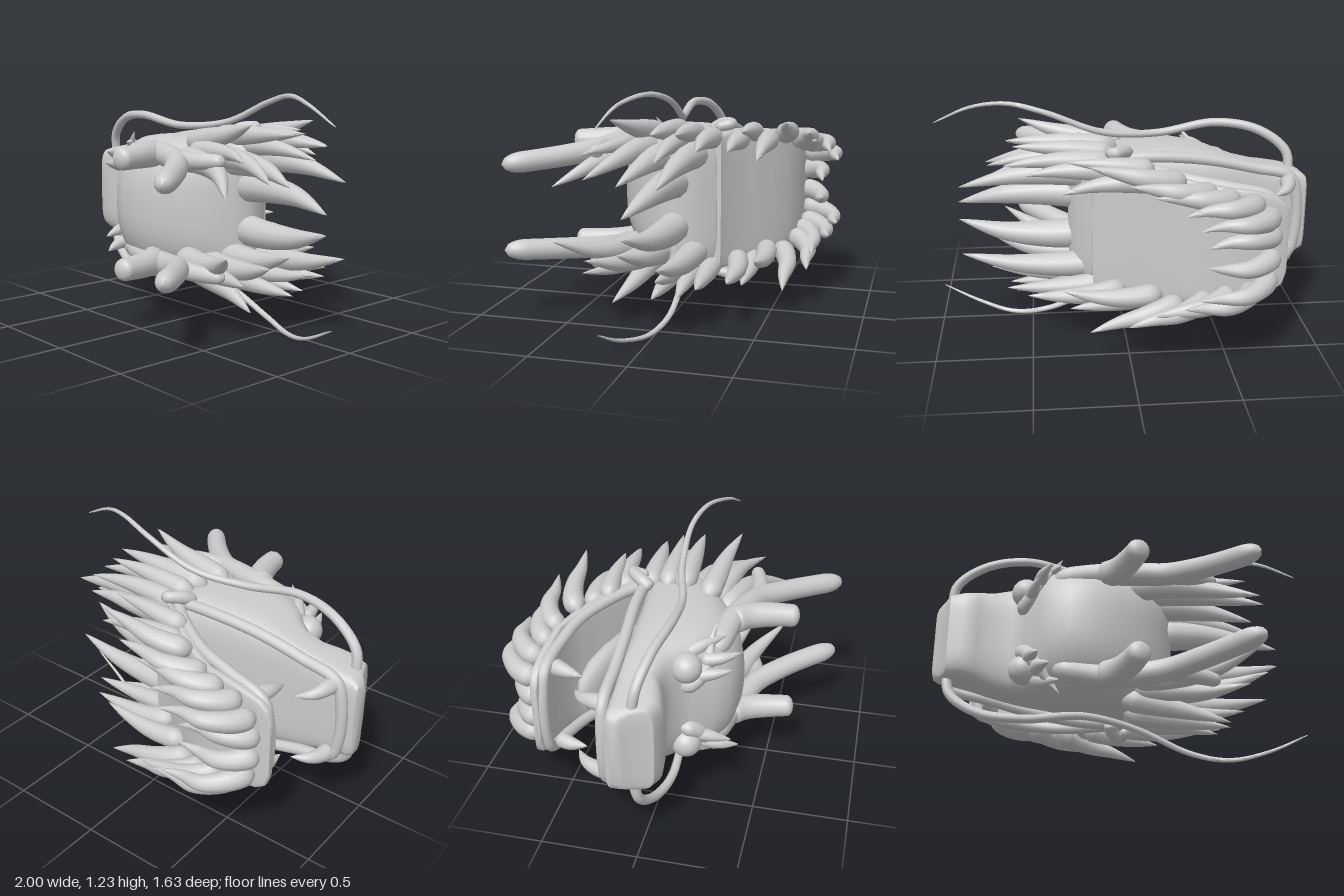
import * as THREE from 'three';
import { toCreasedNormals } from 'three/addons/utils/BufferGeometryUtils.js';

// The head lies on its side: snout to -x, crown to +z, mirrored about y = MID.
const MID = 0.62;
const material = new THREE.MeshStandardMaterial({ color: 0xcccccc, side: THREE.DoubleSide });
const point = (x, z, w) => new THREE.Vector3(x, MID + w, z);

function add(parent, name, geometry) {
  const mesh = new THREE.Mesh(geometry, material);
  mesh.name = name;
  parent.add(mesh);
  return mesh;
}

// Tube whose radius follows a rule along its length
function taperedTube(curve, radiusAt, segments = 28, sides = 12) {
  const geometry = new THREE.TubeGeometry(curve, segments, 1, sides);
  const position = geometry.attributes.position;
  const v = new THREE.Vector3();
  for (let i = 0; i <= segments; i++) {
    const center = curve.getPointAt(i / segments);
    for (let j = 0; j <= sides; j++) {
      const k = i * (sides + 1) + j;
      v.fromBufferAttribute(position, k).sub(center).multiplyScalar(radiusAt(i / segments)).add(center);
      position.setXYZ(k, v.x, v.y, v.z);
    }
  }
  return toCreasedNormals(geometry, 1.2);
}

const spline = (points, s = 1) =>
  new THREE.CatmullRomCurve3(points.map(([x, z, w]) => point(x, z, w * s)));

// Radius rules: pointed spike with a round root, and a rod with round ends
const spike = (r) => (t) => r * Math.min(1, Math.sqrt(t / 0.12 + 0.01)) * Math.pow(1 - t, 0.9) * (1 + 0.8 * t);
const cap = (t) => (t < 0.1 ? Math.sqrt(Math.max(0, 1 - ((0.1 - t) / 0.1) ** 2)) + 0.002 : 1);
const rod = (r0, r1) => (t) => (r0 + (r1 - r0) * t) * cap(t) * cap(1 - t);

// Solid through rounded sections along x: [x, zLow, zHigh, halfWidth, roundness of the top]
function loft(sections, power, sides = 48) {
  const vertices = [], index = [], n = sections.length;
  for (const [x, low, high, half, top = power] of sections) {
    for (let j = 0; j < sides; j++) {
      const a = (j / sides) * Math.PI * 2;
      const p = j < sides / 2 ? top : power;
      const soft = (c) => Math.sign(c) * Math.pow(Math.abs(c), 2 / p);
      vertices.push(x, MID + half * soft(Math.cos(a)), (low + high) / 2 + ((high - low) / 2) * soft(Math.sin(a)));
    }
  }
  for (const [x, low, high] of [sections[0], sections[n - 1]]) vertices.push(x, MID, (low + high) / 2);
  const last = (n - 1) * sides;
  for (let j = 0; j < sides; j++) {
    const k = (j + 1) % sides;
    for (let i = 0; i < n - 1; i++) {
      const a = i * sides, b = a + sides;
      index.push(a + j, a + k, b + j, a + k, b + k, b + j);
    }
    index.push(n * sides, k, j, n * sides + 1, last + j, last + k);
  }
  const geometry = new THREE.BufferGeometry();
  geometry.setAttribute('position', new THREE.Float32BufferAttribute(vertices, 3));
  geometry.setIndex(index);
  return toCreasedNormals(geometry, 0.7);
}

// Mane spikes: root x, z, w, tip x, z, w, radius
const MANE = [
  [0.18, -0.03, 0.11, 0.89, 0.06, 0.05, 0.085],
  [0.1, -0.12, 0.25, 0.87, -0.1, 0.19, 0.075],
  [0.05, -0.19, 0.33, 0.63, -0.23, 0.34, 0.06],
  [0.1, 0.04, 0.24, 0.73, 0.14, 0.17, 0.075],
  [0.02, 0.0, 0.36, 0.62, 0.0, 0.41, 0.065],
  [0.05, 0.12, 0.28, 0.75, 0.3, 0.2, 0.07],
  [0.0, 0.22, 0.26, 0.66, 0.5, 0.14, 0.07],
  [-0.02, 0.14, 0.34, 0.55, 0.23, 0.47, 0.065],
  [0.04, -0.09, 0.35, 0.58, -0.12, 0.41, 0.06],
  [0.04, 0.18, 0.3, 0.63, 0.36, 0.3, 0.055],
  [0.08, -0.04, 0.32, 0.72, -0.05, 0.29, 0.06],
];
// Jaw beard spikes, from hinge to chin
const BEARD = [
  [0.0, -0.29, 0.32, 0.52, -0.36, 0.33, 0.06],
  [-0.14, -0.36, 0.34, 0.3, -0.39, 0.4, 0.055],
  [-0.18, -0.43, 0.3, 0.34, -0.47, 0.26, 0.06],
  [-0.27, -0.48, 0.32, 0.21, -0.59, 0.44, 0.06],
  [-0.4, -0.53, 0.28, 0.02, -0.69, 0.37, 0.06],
  [-0.51, -0.55, 0.25, -0.1, -0.7, 0.31, 0.06],
  [-0.62, -0.56, 0.23, -0.24, -0.77, 0.24, 0.06],
  [-0.7, -0.56, 0.16, -0.31, -0.81, 0.18, 0.06],
  [-0.72, -0.55, 0.055, -0.36, -0.72, 0.05, 0.06],
];

// Each profile row says how far along x, z and w the spike has travelled
const SWEPT = [[0, 0, 0], [0.3, 0.2, 0.1], [0.65, 0.45, 0.4], [1, 1, 1]];
const HOOKED = [[0, 0, 0], [0.12, 0.45, 0.05], [0.4, 0.82, 0.2], [0.7, 0.86, 0.5], [1, 1, 1]];

function addSpikes(parent, name, rows, s, profile) {
  for (const [x, z, w, tx, tz, tw, r] of rows) {
    const path = profile.map(([a, b, c]) => [x + (tx - x) * a, z + (tz - z) * b, w + (tw - w) * c + 0.09 * a * (1 - a)]);
    add(parent, name, taperedTube(spline(path, s), spike(r)));
  }
}

function addSide(head, s) {
  const side = new THREE.Group();
  side.name = s > 0 ? 'upperSide' : 'lowerSide';
  head.add(side);

  addSpikes(side, 'maneSpike', MANE, s, SWEPT);
  addSpikes(side, 'beardSpike', BEARD, s, HOOKED);

  // Long whisker
  add(side, 'whisker', taperedTube(spline([
    [-0.92, -0.03, 0.2], [-0.9, -0.01, 0.32], [-0.75, 0.03, 0.43], [-0.52, 0.07, 0.465], [-0.2, 0.05, 0.42],
    [0.1, -0.02, 0.45], [0.4, -0.03, 0.565], [0.6, 0.02, 0.605], [0.8, 0.1, 0.57], [1, 0.14, 0.48],
  ], s), (t) => 0.025 * Math.pow(1 - t, 0.55) + 0.002, 80, 10));

  // Antler with two branches
  add(side, 'antler', taperedTube(spline([
    [-0.4, 0.26, 0.25], [-0.28, 0.275, 0.275], [-0.12, 0.3, 0.295], [0.05, 0.35, 0.29], [0.18, 0.4, 0.275],
    [0.32, 0.52, 0.255], [0.44, 0.65, 0.24], [0.57, 0.81, 0.225],
  ], s), rod(0.065, 0.055), 60, 16));
  add(side, 'antlerBranch', taperedTube(spline([
    [-0.14, 0.29, 0.29], [-0.07, 0.37, 0.29], [-0.03, 0.48, 0.29], [0, 0.635, 0.285],
  ], s), rod(0.075, 0.058), 48, 16));
  add(side, 'antlerBranch', taperedTube(spline([
    [0.04, 0.35, 0.29], [0.18, 0.385, 0.28], [0.32, 0.375, 0.285], [0.47, 0.335, 0.29],
  ], s), rod(0.06, 0.035), 48, 16));

  // Eye and leaf-shaped spiked brow
  const eye = add(side, 'eye', new THREE.SphereGeometry(0.078, 24, 16));
  eye.position.copy(point(-0.53, 0.145, 0.225 * s));
  add(side, 'brow', taperedTube(spline([
    [-0.56, 0.12, 0.11], [-0.51, 0.2, 0.16], [-0.46, 0.24, 0.24], [-0.41, 0.24, 0.31], [-0.35, 0.26, 0.39],
  ], s), spike(0.045)));
  const browSpikes = [
    [[-0.51, 0.17, 0.17], [-0.5, 0.28, 0.19], [-0.48, 0.37, 0.21]],
    [[-0.47, 0.2, 0.24], [-0.46, 0.31, 0.26], [-0.42, 0.4, 0.28]],
    [[-0.48, 0.13, 0.27], [-0.42, 0.22, 0.31], [-0.36, 0.31, 0.33]],
  ];
  for (const points of browSpikes) add(side, 'browSpike', taperedTube(spline(points, s), spike(0.04), 16, 10));

  // Nostril slit
  const nostril = add(side, 'nostril', new THREE.SphereGeometry(1, 16, 10));
  nostril.scale.set(0.008, 0.06, 0.03);
  nostril.position.copy(point(-0.925, 0.05, 0.1 * s));

  // Fangs
  add(side, 'upperFang', taperedTube(spline(
    [[-0.88, -0.15, 0.2], [-0.87, -0.22, 0.2], [-0.84, -0.29, 0.19], [-0.77, -0.35, 0.18]], s), spike(0.045)));
  add(side, 'lowerFang', taperedTube(spline(
    [[-0.65, -0.5, 0.22], [-0.68, -0.43, 0.22], [-0.7, -0.33, 0.21]], s), spike(0.045)));

  // Curl at the mouth corner
  add(side, 'mouthCorner', taperedTube(spline(
    [[-0.02, -0.16, 0.36], [0.0, -0.22, 0.4], [0.06, -0.28, 0.41], [0.08, -0.2, 0.39]], s), rod(0.04, 0.025)));
}

// Rim running round the front of the mouth from corner to corner
function rim(half, radius) {
  const mirrored = half.slice().reverse().map(([x, z, w]) => [x, z, -w]);
  return taperedTube(spline([...half, ...mirrored]), () => radius, 100, 12);
}

export function createModel() {
  const head = new THREE.Group();
  head.name = 'hornedHead';

  // Boxy snout rising into a domed crown
  add(head, 'skull', loft([
    [-1, -0.13, -0.07, 0.17], [-0.99, -0.145, -0.055, 0.205], [-0.96, -0.15, -0.01, 0.228], [-0.93, -0.155, 0.08, 0.236],
    [-0.86, -0.16, 0.11, 0.25, 4.5], [-0.78, -0.16, 0.1, 0.268, 4], [-0.7, -0.165, 0.07, 0.288, 3.6], [-0.6, -0.17, 0.09, 0.312, 3.2],
    [-0.53, -0.175, 0.17, 0.33, 2.6], [-0.47, -0.18, 0.28, 0.345, 2.3], [-0.41, -0.185, 0.345, 0.355, 2.3], [-0.32, -0.19, 0.375, 0.368, 2.4],
    [-0.18, -0.2, 0.38, 0.375, 2.5], [-0.05, -0.21, 0.345, 0.375, 2.5], [0.08, -0.23, 0.27, 0.365, 2.7], [0.18, -0.23, 0.18, 0.355, 3],
    [0.25, -0.16, 0.09, 0.345, 3], [0.29, -0.07, 0.01, 0.32, 3],
  ], 5));

  add(head, 'lowerJaw', loft([
    [-0.79, -0.57, -0.54, 0.16], [-0.77, -0.58, -0.53, 0.22], [-0.72, -0.58, -0.53, 0.255], [-0.6, -0.58, -0.525, 0.285],
    [-0.42, -0.57, -0.52, 0.31], [-0.31, -0.53, -0.47, 0.325], [-0.18, -0.46, -0.39, 0.345], [-0.05, -0.37, -0.3, 0.36],
    [0.08, -0.285, -0.22, 0.365], [0.17, -0.25, -0.2, 0.36],
  ], 6));

  add(head, 'tongue', loft([
    [-0.58, -0.4, -0.38, 0.04], [-0.55, -0.42, -0.34, 0.1], [-0.43, -0.42, -0.29, 0.14], [-0.28, -0.39, -0.25, 0.15],
    [-0.1, -0.34, -0.22, 0.14], [0.05, -0.25, -0.18, 0.12],
  ], 2.4));

  add(head, 'upperLip', rim([
    [0.04, -0.205, 0.36], [-0.2, -0.2, 0.36], [-0.45, -0.18, 0.33], [-0.7, -0.17, 0.275], [-0.89, -0.17, 0.225], [-0.93, -0.17, 0.12],
  ], 0.03));
  add(head, 'lowerLip', rim([
    [0.06, -0.2, 0.35], [-0.1, -0.33, 0.34], [-0.31, -0.45, 0.315], [-0.5, -0.495, 0.285], [-0.71, -0.52, 0.23], [-0.75, -0.525, 0.12],
  ], 0.03));

  for (const s of [1, -1]) addSide(head, s);
  return head;
}
